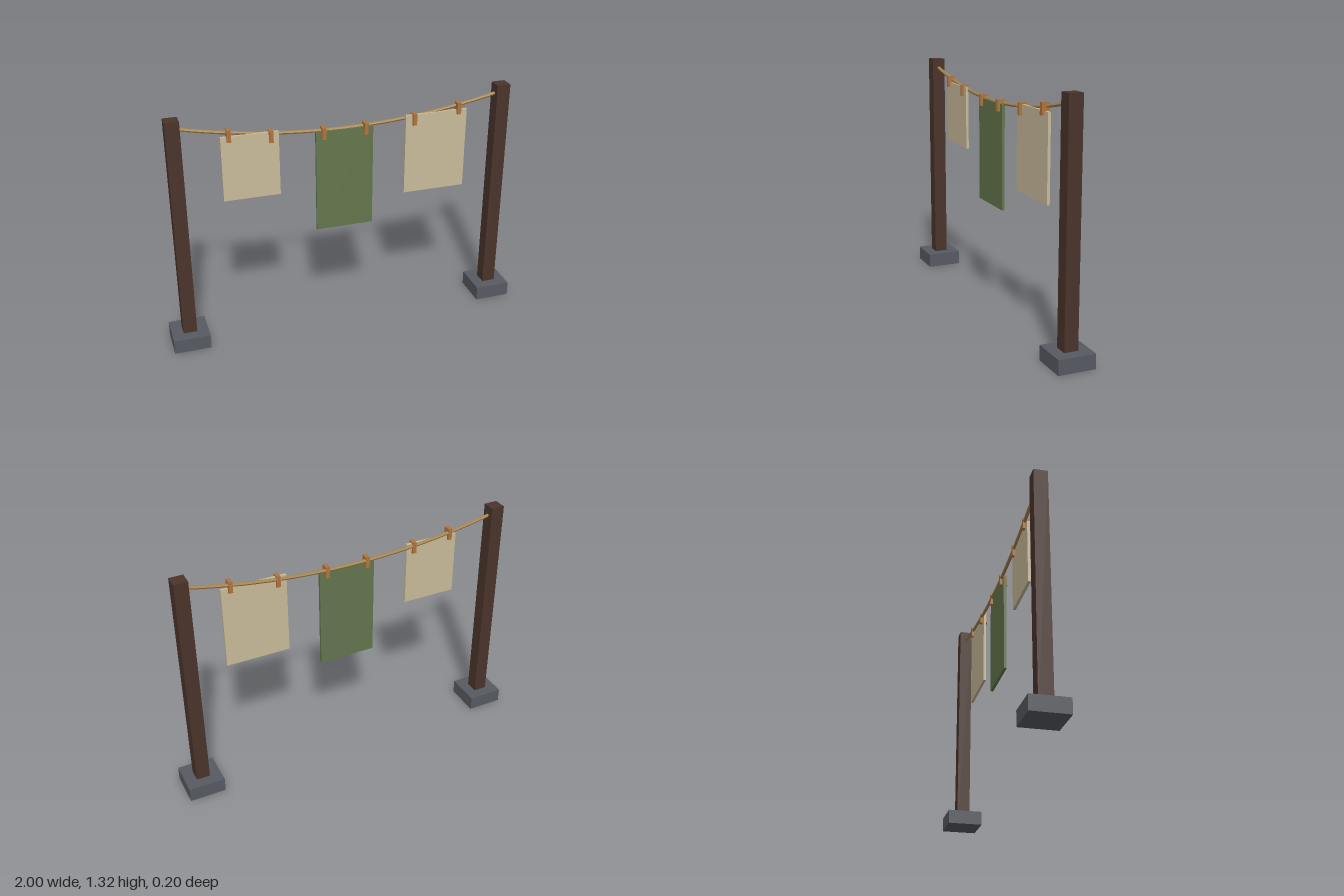
import * as THREE from 'three';

const mat = (name, color, flatShading = false) => {
  const m = new THREE.MeshStandardMaterial({ color, flatShading });
  m.name = name;
  return m;
};

export function createModel() {
  const group = new THREE.Group();
  const wood = mat('dark wood', 0x4a342b);
  const stone = mat('grey stone', 0x575a62);
  const linen = mat('linen', 0xc9bb9b);
  const green = mat('green cloth', 0x64764d);
  const hemp = mat('hemp rope', 0xa8854f, true);
  const pegWood = mat('peg wood', 0xb0743c);

  const box = (name, w, h, d, x, y, z, material) => {
    const mesh = new THREE.Mesh(new THREE.BoxGeometry(w, h, d), material);
    mesh.name = name;
    mesh.position.set(x, y, z);
    group.add(mesh);
  };

  // Posts on stone footings
  for (const [side, x] of [['left', 0.9], ['right', -0.9]]) {
    box(side + 'Footing', 0.2, 0.08, 0.2, x, 0.04, 0, stone);
    box(side + 'Post', 0.075, 1.306, 0.075, x, 0.663, 0, wood);
  }

  // Sagging rope between the posts
  const ropeY = (x) => 1.165 + 0.13 * x * x;
  const points = [];
  for (let i = 0; i <= 16; i++) {
    const x = -0.88 + (1.76 * i) / 16;
    points.push(new THREE.Vector3(x, ropeY(x), 0));
  }
  const rope = new THREE.Mesh(
    new THREE.TubeGeometry(new THREE.CatmullRomCurve3(points), 24, 0.0095, 6), hemp);
  rope.name = 'rope';
  group.add(rope);

  // Hanging cloths: left edge, right edge, bottom, top, material
  const cloths = [
    ['rightCloth', -0.663, -0.358, 0.84, 1.198, linen],
    ['middleCloth', -0.16, 0.157, 0.592, 1.165, green],
    ['leftCloth', 0.342, 0.695, 0.743, 1.198, linen],
  ];
  for (const [name, x0, x1, y0, y1, material] of cloths) {
    box(name, x1 - x0, y1 - y0, 0.015, (x0 + x1) / 2, (y0 + y1) / 2, 0.011, material);
  }

  // Pegs clipped over the rope
  for (const x of [-0.62, -0.4, -0.117, 0.115, 0.39, 0.645]) {
    box('peg', 0.022, 0.064, 0.042, x, ropeY(x) - 0.011, 0.012, pegWood);
  }
  return group;
}
